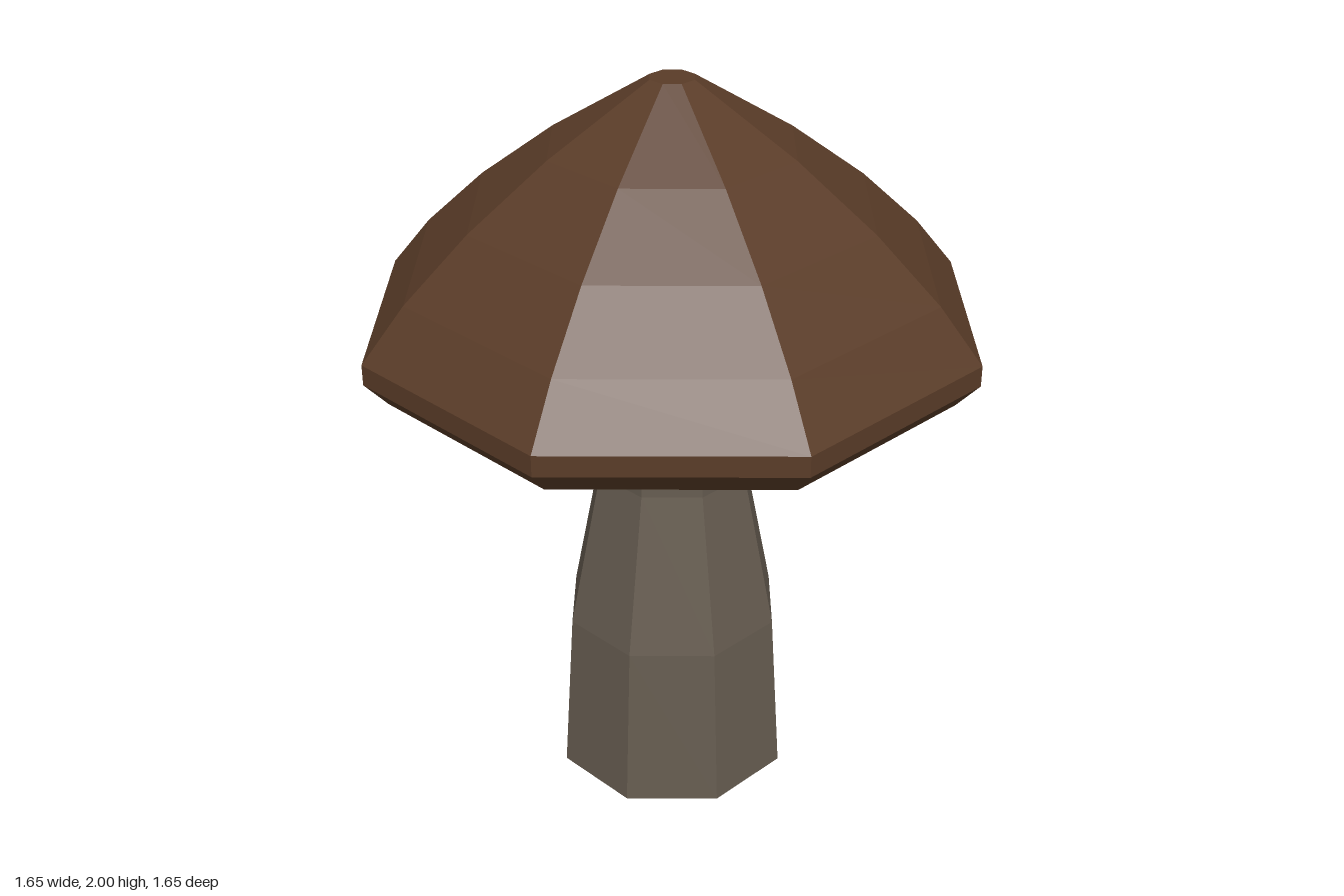
import * as THREE from 'three';

const SIDES = 8;

// Faceted surface of revolution; profile runs so that its faces point outwards
function turned(name, profile, color) {
  const points = profile.map(([r, y]) => new THREE.Vector2(r, y));
  const geometry = new THREE.LatheGeometry(points, SIDES).toNonIndexed();
  geometry.computeVertexNormals();
  const material = new THREE.MeshStandardMaterial({ color, flatShading: true });
  const mesh = new THREE.Mesh(geometry, material);
  mesh.name = name;
  return mesh;
}

export function createModel() {
  const group = new THREE.Group();
  group.name = 'mushroom';
  const brown = 0x5a3c28;
  const grey = 0x665c50;

  // Stem: closed base, waisted towards the cap
  group.add(turned('stem', [
    [0, 0], [0.33, 0], [0.3, 0.47], [0.21, 0.92], [0.2, 1.43],
  ], grey));

  // Gills: hollow underside sloping up from the rim to the stem
  group.add(turned('gills', [[0.2, 1.43], [0.765, 1.25]], grey));

  // Cap: bevelled rim, domed sides and a small flat tip
  group.add(turned('cap', [
    [0.765, 1.25], [0.825, 1.315], [0.825, 1.37], [0.71, 1.51],
    [0.54, 1.67], [0.33, 1.83], [0.06, 2], [0, 2],
  ], brown));

  return group;
}
